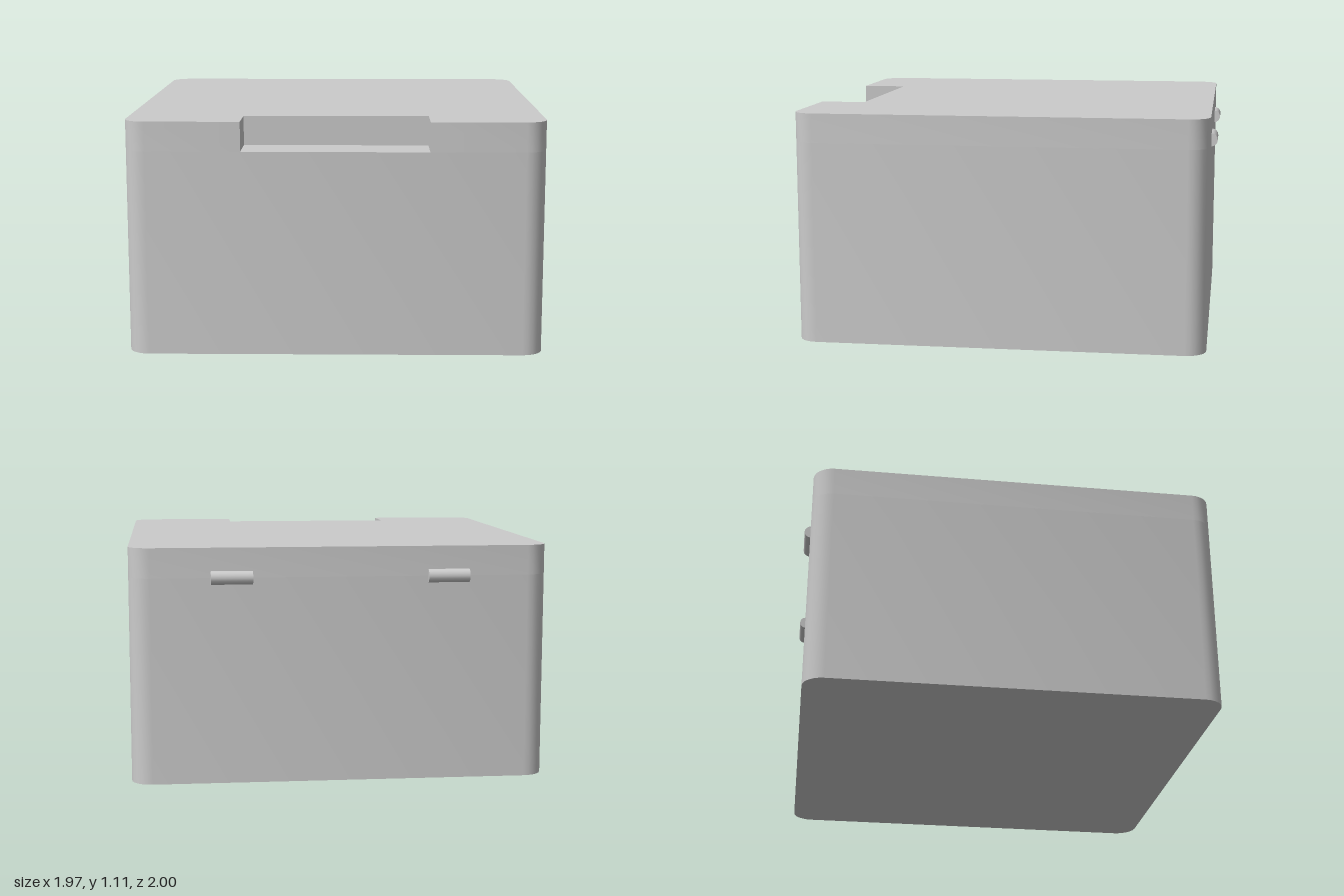
import * as THREE from 'three';
import { toCreasedNormals } from 'three/addons/utils/BufferGeometryUtils.js';

const W = 0.985, FRONT = 1, BACK = -0.97, R = 0.1;
const TOP = 1.11, LEDGE = 0.97; // lid height and notch floor
const NOTCH_W = 0.44, NOTCH_Z = 0.78;

// Rounded footprint (shape y = -z), optionally with the front notch cut out
function footprint(notched) {
  const s = new THREE.Shape();
  const f = -FRONT, b = -BACK;
  s.moveTo(-W + R, f);
  if (notched) {
    s.lineTo(-NOTCH_W, f);
    s.lineTo(-NOTCH_W, -NOTCH_Z);
    s.lineTo(NOTCH_W, -NOTCH_Z);
    s.lineTo(NOTCH_W, f);
  }
  s.absarc(W - R, f + R, R, -Math.PI / 2, 0);
  s.absarc(W - R, b - R, R, 0, Math.PI / 2);
  s.absarc(-W + R, b - R, R, Math.PI / 2, Math.PI);
  s.absarc(-W + R, f + R, R, Math.PI, Math.PI * 1.5);
  return s;
}

function slab(name, shape, y0, y1, material) {
  const g = new THREE.ExtrudeGeometry(shape, { depth: y1 - y0, bevelEnabled: false, curveSegments: 3 });
  g.rotateX(-Math.PI / 2);
  g.translate(0, y0, 0);
  const mesh = new THREE.Mesh(toCreasedNormals(g, 0.7), material);
  mesh.name = name;
  return mesh;
}

export function createModel() {
  const model = new THREE.Group();
  model.name = 'box';
  const material = new THREE.MeshStandardMaterial({ color: 0xcccccc });

  // Solid body, and the top layer with the finger notch
  model.add(slab('body', footprint(false), 0, LEDGE, material));
  model.add(slab('notchedTop', footprint(true), LEDGE, TOP, material));

  // Pair of small hinge pins half sunk in the back wall
  const pin = new THREE.CylinderGeometry(0.032, 0.032, 0.195, 16);
  pin.rotateZ(Math.PI / 2);
  for (const [name, side] of [['leftHingePin', 1], ['rightHingePin', -1]]) {
    const mesh = new THREE.Mesh(pin, material);
    mesh.name = name;
    mesh.position.set(side * 0.508, 0.97, -0.968);
    model.add(mesh);
  }
  return model;
}
